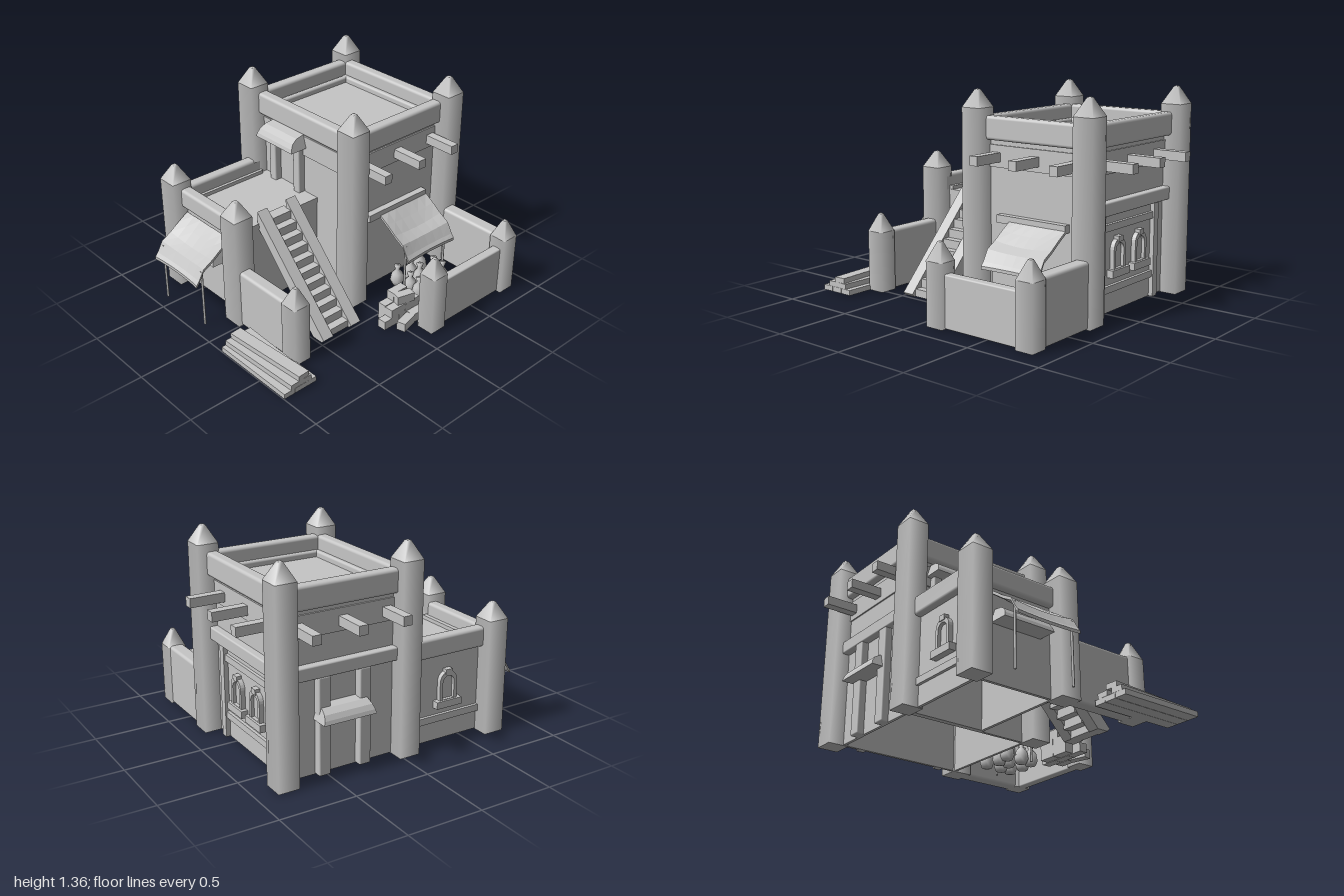
import * as THREE from 'three';
import { RoundedBoxGeometry } from 'three/addons/geometries/RoundedBoxGeometry.js';

const clay = new THREE.MeshStandardMaterial({ color: 0xc6c6c6 });
clay.name = 'clay grey';

export function createModel() {
  const model = new THREE.Group();
  model.name = 'adobeHouse';

  const add = (name, geometry, parent = model) => {
    const mesh = new THREE.Mesh(geometry, clay);
    mesh.name = name;
    parent.add(mesh);
    return mesh;
  };
  // Box given by its extents on each axis; r > 0 rounds the edges
  const block = (name, [x0, x1], [y0, y1], [z0, z1], r = 0, parent = model) => {
    const w = x1 - x0, h = y1 - y0, d = z1 - z0;
    const g = r ? new RoundedBoxGeometry(w, h, d, 2, r) : new THREE.BoxGeometry(w, h, d);
    const m = add(name, g, parent);
    m.position.set((x0 + x1) / 2, (y0 + y1) / 2, (z0 + z1) / 2);
    return m;
  };
  // Four thin walls around an open-bottomed room
  const room = (name, [x0, x1], y, [z0, z1]) => {
    const t = 0.02;
    for (const z of [z0, z1 - t]) block(name, [x0, x1], y, [z, z + t]);
    for (const x of [x0, x1 - t]) block(name, [x, x + t], y, [z0 + t, z1 - t]);
  };
  // Wall-mounted group: local +z points out of the wall
  const mount = (name, x, y, z, turn) => {
    const g = new THREE.Group();
    g.name = name;
    g.position.set(x, y, z);
    g.rotation.y = turn;
    model.add(g);
    return g;
  };
  const RIGHT = Math.PI / 2, BACK = Math.PI, LEFT = -Math.PI / 2;

  // Square pillar with softly shaded corners and a pointed cap
  const pillar = (name, x, z, half, shoulder, top) => {
    const g = mount(name, x, 0, z, 0);
    const tier = (part, r0, r1, y0, y1) => {
      const q = Math.SQRT2;
      const geo = new THREE.CylinderGeometry(r1 * q, r0 * q, y1 - y0, 4, 1, false, Math.PI / 4);
      add(part, geo, g).position.y = (y0 + y1) / 2;
    };
    tier('pillarShaft', half, half, 0.01, shoulder);
    tier('pillarCap', half, half * 0.2, shoulder, top - 0.006);
    tier('pillarTip', half * 0.2, 0.001, top - 0.006, top);
  };
  for (const x of [-0.04, 0.803]) for (const z of [-0.695, 0.273]) pillar('towerPillar', x, z, 0.07, 1.25, 1.365);
  for (const z of [-0.695, -0.06]) pillar('annexPillar', -0.7, z, 0.07, 0.77, 0.88);
  for (const [x, z] of [[-0.7, 0.485], [0.138, 0.82], [0.805, 0.82]]) pillar('yardPillar', x, z, 0.06, 0.41, 0.53);

  // Tower body, roof and parapet
  room('towerWall', [0, 0.76], [0.015, 1.05], [-0.66, 0.23]);
  block('towerRoof', [0, 0.76], [1.04, 1.07], [-0.66, 0.23]);
  room('towerUpperBand', [-0.01, 0.77], [0.88, 1.02], [-0.67, 0.24]);
  for (const z of [-0.665, 0.235]) block('towerParapet', [0, 0.76], [1.05, 1.2], [z - 0.04, z + 0.04], 0.02);
  for (const x of [-0.01, 0.773]) block('towerParapet', [x - 0.04, x + 0.04], [1.05, 1.2], [-0.66, 0.23], 0.02);
  for (const z of [-0.605, 0.185]) block('roofLedge', [0.02, 0.74], [1.05, 1.11], [z - 0.02, z + 0.02], 0.015);
  for (const x of [0.04, 0.72]) block('roofLedge', [x - 0.02, x + 0.02], [1.05, 1.11], [-0.63, 0.2], 0.015);

  // Roof timbers poking out of the walls
  for (const x of [0.083, 0.383, 0.683]) {
    block('roofBeam', [x - 0.03, x + 0.03], [0.915, 0.975], [0.2, 0.46]);
    block('roofBeam', [x - 0.03, x + 0.03], [0.915, 0.975], [-0.885, -0.63]);
  }
  for (const z of [-0.512, -0.21, 0.09]) block('roofBeam', [0.74, 1], [0.915, 0.975], [z - 0.03, z + 0.03]);

  // Waist beams on the right and back of the tower
  block('waistBeam', [0.74, 0.81], [0.635, 0.72], [-0.66, 0.23], 0.01);
  block('waistBeam', [0, 0.76], [0.635, 0.72], [-0.71, -0.64], 0.01);

  // Framing of the right wall
  for (const z of [0.095, -0.505]) block('wallPost', [0.74, 0.79], [0.015, 0.635], [z - 0.025, z + 0.025]);
  for (const y of [0.553, 0.167]) block('wallRail', [0.74, 0.78], [y - 0.022, y + 0.022], [-0.5, 0.09]);

  // Arched window with sill, standing on local y = 0
  const archShape = (C, w, y0, y1) => {
    const s = new C(), spring = y1 - w / 2;
    s.moveTo(-w / 2, y0);
    s.lineTo(w / 2, y0);
    s.lineTo(w / 2, spring);
    s.absarc(0, spring, w / 2, 0, Math.PI, false);
    s.closePath();
    return s;
  };
  const archWindow = (x, z, turn) => {
    const g = mount('archWindow', x, 0.24, z, turn);
    const frame = archShape(THREE.Shape, 0.13, 0.04, 0.235);
    frame.holes.push(archShape(THREE.Path, 0.085, 0.05, 0.205));
    add('windowFrame', new THREE.ExtrudeGeometry(frame, { depth: 0.03, bevelEnabled: false, curveSegments: 6 }), g);
    block('windowSill', [-0.095, 0.095], [0, 0.047], [0, 0.045], 0, g);
    block('windowPane', [-0.043, 0.043], [0.04, 0.2], [0, 0.008], 0, g);
    block('keystone', [-0.025, 0.025], [0.215, 0.25], [0, 0.036], 0, g);
  };
  archWindow(0.76, -0.088, RIGHT);
  archWindow(0.76, -0.327, RIGHT);
  archWindow(-0.38, -0.66, BACK);

  // Annex with its terrace, back and left parapets
  room('annexWall', [-0.67, 0], [0.015, 0.6], [-0.66, -0.11]);
  block('terrace', [-0.67, 0], [0.575, 0.61], [-0.66, -0.105]);
  block('terraceLedge', [-0.64, -0.05], [0.6, 0.635], [-0.64, -0.605]);
  block('terraceLedge', [-0.64, -0.6], [0.6, 0.635], [-0.62, -0.11]);
  block('annexParapet', [-0.7, -0.04], [0.59, 0.72], [-0.705, -0.625], 0.02);
  block('annexParapet', [-0.71, -0.63], [0.59, 0.72], [-0.7, -0.06], 0.02);
  block('annexRail', [-0.64, -0.1], [0.145, 0.19], [-0.68, -0.65]);

  // Stairs: two sloping stringers with treads between
  const side = new THREE.Shape([[0.48, 0.01], [0.5, 0.03], [-0.12, 0.69], [-0.12, 0.58], [0.4, 0.01]]
    .map(([z, y]) => new THREE.Vector2(-z, y)));
  for (const x of [-0.49, -0.257]) {
    const m = add('stairStringer', new THREE.ExtrudeGeometry(side, { depth: 0.08, bevelEnabled: false }));
    m.rotation.y = Math.PI / 2;
    m.position.x = x;
  }
  for (let i = 0; i < 11; i++) {
    const y = 0.06 + i * 0.057, z = 0.47 - i * 0.054;
    block('stairTread', [-0.415, -0.25], [Math.max(0.01, y - 0.06), y], [z - 0.08, z]);
  }

  // Cloth awning: a thin slab bent along a profile of [out, height]
  const cloth = [[0, 0.55], [0.07, 0.505], [0.14, 0.455], [0.21, 0.415], [0.25, 0.345], [0.27, 0.32]];
  const awning = (name, x, z, turn, width) => {
    const n = cloth.length - 1;
    const g = new THREE.BoxGeometry(width, 0.02, 1, 6, 1, n);
    const pos = g.attributes.position;
    for (let i = 0; i < pos.count; i++) {
      const [out, h] = cloth[Math.round((pos.getZ(i) + 0.5) * n)];
      const reach = out / cloth[n][0];
      const sag = 1 - (pos.getX(i) / width * 2) ** 2;
      pos.setZ(i, out - 0.012 * sag * reach);
      pos.setY(i, pos.getY(i) + h - 0.02 * sag * Math.sin(Math.PI * reach));
    }
    const flat = g.toNonIndexed();
    flat.computeVertexNormals();
    add(name, flat, mount(name + 'Mount', x, 0, z, turn));
  };
  awning('frontAwning', 0.425, 0.27, 0, 0.43);
  awning('sideAwning', -0.69, -0.378, LEFT, 0.45);
  const poles = [[0.24, 0.48], [0.61, 0.48], [-0.905, -0.58], [-0.905, -0.17]];
  for (const [x, z] of poles) {
    add('awningPole', new THREE.CylinderGeometry(0.008, 0.008, 0.4, 8)).position.set(x, 0.205, z);
  }
  block('frontLintel', [0.112, 0.637], [0.54, 0.59], [0.22, 0.275]);

  // Small solid door hoods whose ends lean inwards towards the top
  const hood = (name, x, y, z, turn) => {
    const section = new THREE.Shape([[0, 0], [0.125, 0], [0.118, 0.025], [0.1, 0.055], [0.06, 0.08], [0, 0.09]]
      .map(([out, h]) => new THREE.Vector2(-out, h)));
    const g = new THREE.ExtrudeGeometry(section, { depth: 0.36, bevelEnabled: false });
    g.translate(0, 0, -0.18);
    const pos = g.attributes.position;
    for (let i = 0; i < pos.count; i++) pos.setZ(i, pos.getZ(i) * (1 - pos.getY(i) * 1.6));
    g.rotateY(Math.PI / 2);
    g.computeVertexNormals();
    add(name, g, mount(name + 'Mount', x, y, z, turn));
  };
  hood('backHood', 0.4, 0.37, -0.66, BACK);
  hood('terraceHood', -0.01, 0.94, -0.38, LEFT);
  hood('leftHood', -0.67, 0.37, -0.38, LEFT);
  for (const x of [0.25, 0.53]) block('backDoorJamb', [x - 0.04, x + 0.04], [0.015, 0.64], [-0.71, -0.65], 0.01);
  for (const z of [-0.5, -0.26]) block('terraceDoorJamb', [-0.05, 0.01], [0.6, 0.94], [z - 0.03, z + 0.03], 0.01);

  // Yard walls
  block('frontYardWall', [0.15, 0.8], [0.01, 0.34], [0.785, 0.85], 0.01);
  block('rightYardWall', [0.755, 0.855], [0.01, 0.42], [0.25, 0.8], 0.02);
  block('leftYardWall', [-0.745, -0.655], [0.01, 0.41], [-0.04, 0.46], 0.02);

  // Stack of planks: [x, base height, turn]
  const planks = [[-0.96, 0.01, 0], [-0.877, 0.01, 0], [-0.795, 0.01, 0],
    [-0.92, 0.045, 0.04], [-0.825, 0.045, -0.03], [-0.87, 0.08, 0.07]];
  for (const [x, y, turn] of planks) {
    const m = add('plank', new THREE.BoxGeometry(0.08, 0.034, 0.595));
    m.position.set(x, y + 0.017, 0.43);
    m.rotation.y = turn;
  }

  // Pile of bricks: [x, layer, z, turn]
  const bricks = [[-0.05, 0, 0.625, 0], [0.015, 0, 0.56, 0], [0.14, 0, 0.56, 0], [0.2, 0, 0.625, 0],
    [0.02, 0, 0.71, 0.25], [0.14, 0, 0.69, 0], [0.075, 0, 0.625, 0], [0.015, 1, 0.56, 0], [0.14, 1, 0.56, 0],
    [0.01, 1, 0.625, 0], [0.135, 1, 0.625, 0], [0.085, 2, 0.625, -0.25], [0.09, 2, 0.56, 0]];
  for (const [x, layer, z, turn] of bricks) {
    const m = add('brick', new THREE.BoxGeometry(0.122, 0.06, 0.06));
    m.position.set(x, 0.04 + layer * 0.06, z);
    m.rotation.y = turn;
  }

  // Tied sacks under the front awning
  const sack = [[0, 0], [0.035, 0.005], [0.048, 0.04], [0.038, 0.1], [0.014, 0.13], [0.025, 0.165], [0, 0.17]]
    .map(([r, y]) => new THREE.Vector2(r, y));
  for (let i = 0; i < 9; i++) {
    const m = add('sack', new THREE.LatheGeometry(sack, 8));
    m.position.set(0.32 + (i % 3) * 0.11, 0.005, 0.34 + Math.floor(i / 3) * 0.1 + (i % 2) * 0.02);
    m.scale.y = 0.9 + (i % 3) * 0.08;
  }
  return model;
}
